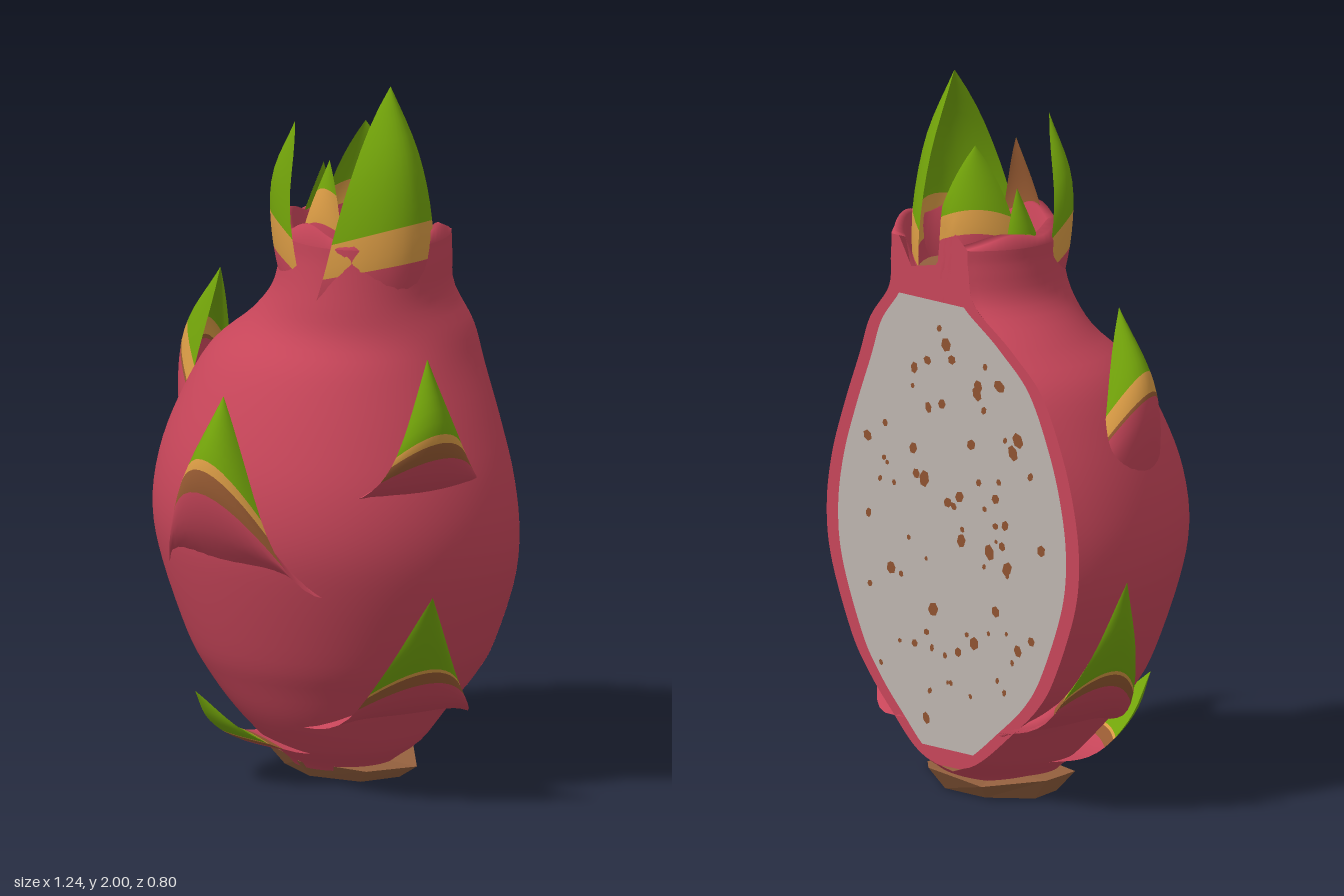
import * as THREE from 'three';
import { mergeGeometries } from 'three/addons/utils/BufferGeometryUtils.js';

const CUT = -0.4; // plane of the sliced face

function mat(name, color, double) {
  const m = new THREE.MeshStandardMaterial({ color });
  m.name = name;
  if (double) m.side = THREE.DoubleSide;
  return m;
}

// Grid surface through rows of points, point(i, j) -> Vector3
function grid(rows, cols, point) {
  const pos = [], idx = [];
  for (let j = 0; j <= rows; j++) {
    for (let i = 0; i <= cols; i++) {
      const p = point(i, j);
      pos.push(p.x, p.y, Math.max(CUT, p.z));
    }
  }
  for (let j = 0; j < rows; j++) {
    for (let i = 0; i < cols; i++) {
      const a = j * (cols + 1) + i, b = a + 1, c = a + cols + 1, d = c + 1;
      idx.push(a, b, d, a, d, c);
    }
  }
  const g = new THREE.BufferGeometry();
  g.setAttribute('position', new THREE.Float32BufferAttribute(pos, 3));
  g.setIndex(idx);
  g.computeVertexNormals();
  return g;
}

export function createModel() {
  const group = new THREE.Group();
  const red = mat('skin red', 0xc64559, true);
  const green = mat('leaf green', 0x72a30a, true);
  const gold = mat('leaf gold', 0xd89a44, true);
  const brown = mat('leaf brown', 0x965a32, true);
  const bark = mat('stem brown', 0x94603e);
  const white = mat('flesh', 0xbcb4ae);
  const seedMat = mat('seed brown', 0x8e5230);
  const add = (name, geo, m) => {
    const mesh = new THREE.Mesh(geo, m);
    mesh.name = name;
    group.add(mesh);
    return mesh;
  };

  // Body profile: height, centre x, centre z, radius
  const profile = [
    [0.03, 0, -0.21, 0.14], [0.1, 0.01, -0.21, 0.22], [0.2, 0, -0.21, 0.305],
    [0.3, -0.01, -0.23, 0.385], [0.4, -0.01, -0.24, 0.445], [0.6, -0.01, -0.25, 0.52],
    [0.75, -0.01, -0.24, 0.54], [0.9, -0.01, -0.235, 0.52], [1.05, -0.01, -0.24, 0.47],
    [1.2, 0, -0.25, 0.4], [1.3, 0.04, -0.26, 0.325], [1.4, 0.075, -0.22, 0.255],
    [1.5, 0.085, -0.22, 0.24], [1.56, 0.085, -0.22, 0.238],
  ];
  const centres = new THREE.CatmullRomCurve3(
    profile.map(([y, x, z]) => new THREE.Vector3(x, y, z)), false, 'catmullrom', 0.5);
  const radii = new THREE.SplineCurve(profile.map(([y, , , r]) => new THREE.Vector2(r, y)));
  const halfArc = (cz, r) => Math.acos(THREE.MathUtils.clamp((CUT - cz) / r, -1, 1));
  const onRing = (c, r, s) => {
    const a = s * halfArc(c.z, r);
    return new THREE.Vector3(c.x + r * Math.sin(a), c.y, c.z + r * Math.cos(a));
  };

  const ROWS = 52, COLS = 56;
  const side = (i) => (i / COLS) * 2 - 1;
  add('body', grid(ROWS, COLS, (i, j) =>
    onRing(centres.getPoint(j / ROWS), radii.getPoint(j / ROWS).x, side(i))), red);

  // Wavy crown rim, its inner wall and the bowl floor
  const neck = (y) => new THREE.Vector3(0.085, y, -0.22);
  const rimY = (s) => 1.56 + 0.04 * (1 - s ** 6) + 0.02 * Math.cos(s * 16) * (1 - s * s);
  const rimSteps = [[0.238, 0], [0.232, 1], [0.205, 0.95], [0.185, -1]];
  add('crownRim', grid(3, COLS, (i, j) => {
    const s = side(i), [r, k] = rimSteps[j];
    return onRing(neck(k < 0 ? 1.46 : 1.56 + k * (rimY(s) - 1.56)), r, s);
  }), red);
  add('crownFloor', grid(2, COLS, (i, j) =>
    onRing(neck(1.462 - j * 0.008), 0.19 - j * 0.0945, side(i))), bark);

  // Sliced face: skin border with a notched top, and flesh
  const outline = (inset, lo, hi, notch = []) => {
    const left = [], right = [];
    for (let j = 0; j <= 90; j++) {
      const c = centres.getPoint(j / 90), r = radii.getPoint(j / 90).x;
      const half = r * Math.sin(halfArc(c.z, r)) - inset;
      if (c.y < lo || c.y > hi || half < 0.005) continue;
      right.push(new THREE.Vector2(-c.x + half, c.y));
      left.unshift(new THREE.Vector2(-c.x - half, c.y));
    }
    return [...right, ...notch, ...left];
  };
  const face = (name, pts, m, z) => {
    const mesh = add(name, new THREE.ShapeGeometry(new THREE.Shape(pts)), m);
    mesh.rotation.y = Math.PI;
    mesh.position.z = z;
  };
  const notch = [[0.02, 1.6], [-0.06, 1.5], [-0.16, 1.48], [-0.21, 1.56]];
  face('cutSkin', outline(0, 0, 1.57, notch.map((p) => new THREE.Vector2(...p))), red, CUT);
  face('cutFlesh', outline(0.05, 0.12, 1.41), white, CUT - 0.003);

  // Seeds scattered over the flesh
  let state = 7;
  const rand = () => (state = (state * 16807) % 2147483647) / 2147483647;
  const seeds = [];
  while (seeds.length < 75) {
    const x = (rand() - 0.5) * 0.9, y = 0.18 + rand() * 1.15;
    const size = 0.007 + 0.014 * rand() ** 2;
    const half = y < 0.75 ? 0.42 : 0.42 - 0.3 * ((y - 0.75) / 0.6) ** 2;
    if ((x / half) ** 2 + (y < 0.75 ? ((y - 0.75) / 0.62) ** 2 : 0) > 0.92) continue;
    const g = new THREE.CircleGeometry(size, 6);
    g.scale(1, 0.8 + rand() * 0.6, 1).rotateZ(rand() * 3);
    seeds.push(g.translate(x, y, 0));
  }
  const seedMesh = add('seeds', mergeGeometries(seeds), seedMat);
  seedMesh.rotation.y = Math.PI;
  seedMesh.position.z = CUT - 0.006;

  // Stem stub, a rough flared plate
  const stem = new THREE.CylinderGeometry(0.25, 0.19, 0.05, 7).toNonIndexed();
  const sp = stem.attributes.position;
  for (let i = 0; i < sp.count; i++) {
    const x = sp.getX(i), y = sp.getY(i), z = sp.getZ(i);
    sp.setXYZ(i, x - 0.01, y + 0.025 + (y > 0 ? 0.012 * Math.sin(x * 20) : 0),
      Math.max(CUT, z * 0.72 - 0.23));
  }
  stem.computeVertexNormals();
  add('stem', stem, bark);

  // Curved scale leaf: lens section swept up a centre line, coloured in bands
  function leaf(name, [nx, nz], pts, { w, q, curl, droop, thick = 0.13, bands, lining }) {
    const n = new THREE.Vector3(nx, 0, nz).normalize();
    const across = new THREE.Vector3(n.z, 0, -n.x);
    const line = new THREE.CatmullRomCurve3(pts.map((p) => new THREE.Vector3(...p)));
    const stops = [0, ...bands, 1], mats = [red, brown, gold, green];
    const vs = [0], rowMat = [], N = 14;
    for (let k = 0; k < 4; k++) {
      if (stops[k + 1] - stops[k] < 0.001) continue;
      const steps = Math.ceil((stops[k + 1] - stops[k]) * 14);
      for (let s = 1; s <= steps; s++) {
        vs.push(THREE.MathUtils.lerp(stops[k], stops[k + 1], s / steps));
        rowMat.push(k);
      }
    }
    const surface = (inner) => grid(vs.length - 1, N, (i, j) => {
      const v = vs[j], u = ((i / N) * 2 - 1) * (inner ? -1 : 1);
      const width = 1 - v ** q;
      const p = line.getPointAt(v).addScaledVector(across, u * w * width);
      p.addScaledVector(n, -curl * u * u * width - (inner ? thick * (1 - u * u) * (1 - v) : 0));
      p.y -= droop * Math.sin(Math.PI * v) * u * u;
      return p;
    });
    const part = new THREE.Group();
    part.name = name;
    for (const inner of [false, true]) {
      const g = surface(inner);
      rowMat.forEach((k, j) => g.addGroup(j * N * 6, N * 6, k));
      const mesh = new THREE.Mesh(g, inner && lining ? mats.map(() => lining) : mats);
      mesh.name = name + (inner ? 'Inside' : 'Outside');
      part.add(mesh);
    }
    group.add(part);
  }

  // Scales around the body, their bases sunk into the skin
  leaf('frontScale', [0.03, 1],
    [[0.02, 0.63, 0.24], [0.02, 0.8, 0.36], [0.03, 0.96, 0.39], [0.04, 1.17, 0.3]],
    { w: 0.33, q: 1.6, curl: 0.19, droop: 0.2, bands: [0.53, 0.64, 0.69] });
  leaf('leftUpperScale', [1, 0.25],
    [[0.41, 0.86, -0.09], [0.54, 0.96, -0.05], [0.595, 1.1, 0], [0.54, 1.31, 0]],
    { w: 0.28, q: 1, curl: 0.16, droop: 0.07, bands: [0.46, 0.56, 0.61] });
  leaf('leftLowerScale', [0.95, 0.3],
    [[0.22, 0.19, -0.16], [0.44, 0.29, -0.09], [0.55, 0.46, 0], [0.62, 0.65, 0.06]],
    { w: 0.27, q: 1.5, curl: 0.17, droop: 0.08, bands: [0.52, 0.59, 0.61] });
  leaf('rightUpperScale', [-0.95, 0.3],
    [[-0.45, 0.8, -0.12], [-0.5, 1, -0.1], [-0.495, 1.2, -0.1], [-0.355, 1.4, -0.09]],
    { w: 0.2, q: 2.2, curl: 0.12, droop: 0.14, bands: [0.58, 0.6, 0.69] });
  leaf('rightLowerScale', [-1, -0.1],
    [[-0.28, 0.2, -0.27], [-0.48, 0.34, -0.28], [-0.58, 0.52, -0.29], [-0.615, 0.69, -0.3]],
    { w: 0.2, q: 1.6, curl: 0.1, droop: 0.08, bands: [0.46, 0.53, 0.55] });
  leaf('frontLowerScale', [-0.3, 1],
    [[-0.07, 0.1, -0.06], [-0.11, 0.12, 0.08], [-0.13, 0.19, 0.18], [-0.14, 0.28, 0.23]],
    { w: 0.18, q: 1.8, curl: 0.12, droop: 0.02, bands: [0.47, 0.55, 0.57] });

  // Crown leaves around the neck
  leaf('crownLeftLeaf', [1, 0],
    [[0.29, 1.3, -0.18], [0.335, 1.56, -0.18], [0.305, 1.8, -0.18], [0.21, 2, -0.19]],
    { w: 0.21, q: 2.6, curl: 0.19, droop: 0.06, thick: 0.06, bands: [0.31, 0.31, 0.46] });
  leaf('crownFrontLeaf', [-0.69, 0.72],
    [[-0.05, 1.3, -0.06], [-0.09, 1.55, -0.025], [-0.085, 1.72, -0.02], [-0.01, 1.89, -0.035]],
    { w: 0.14, q: 3, curl: 0.07, droop: 0.06, thick: 0.04, bands: [0.37, 0.37, 0.54] });
  leaf('crownSmallLeaf', [0.1, 1],
    [[0.12, 1.4, -0.01], [0.12, 1.62, 0.005], [0.12, 1.8, -0.04]],
    { w: 0.1, q: 2, curl: 0.03, droop: 0.03, thick: 0.03, bands: [0.56, 0.56, 0.8], lining: brown });
  leaf('crownBackLeaf', [-0.75, -0.65],
    [[-0.05, 1.4, -0.35], [-0.06, 1.6, -0.36], [-0.015, 1.84, -0.32]],
    { w: 0.13, q: 3, curl: 0.04, droop: 0.03, thick: 0.03, bands: [0.45, 0.45, 0.6] });
  leaf('crownRightLeaf', [-1, -0.1],
    [[-0.135, 1.35, -0.23], [-0.145, 1.55, -0.24], [-0.1, 1.72, -0.24]],
    { w: 0.1, q: 2, curl: 0.03, droop: 0.03, thick: 0.03, bands: [0.45, 0.45, 0.65] });

  return group;
}
